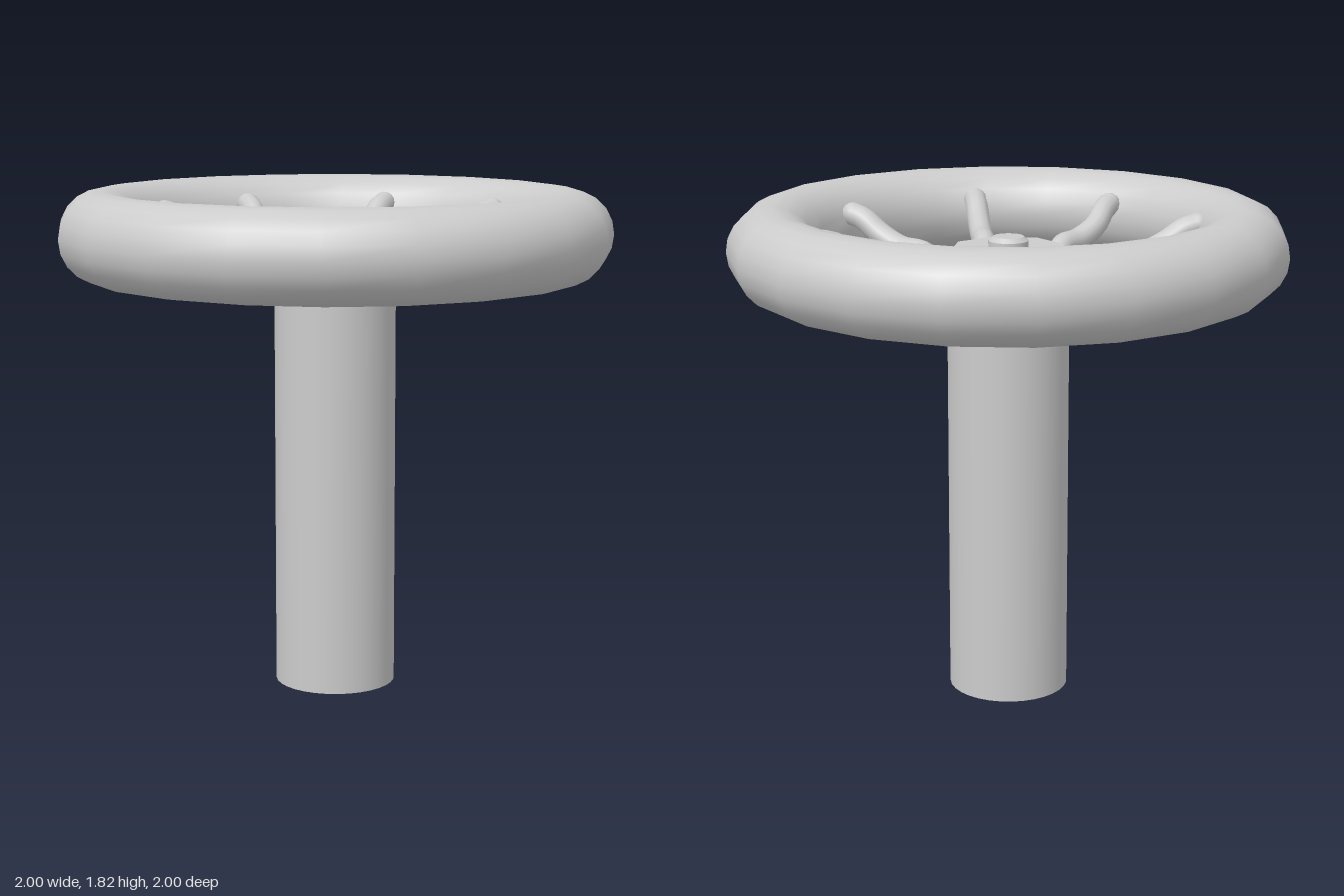
import * as THREE from 'three';
import { toCreasedNormals } from 'three/addons/utils/BufferGeometryUtils.js';

const material = new THREE.MeshStandardMaterial({ color: 0xcccccc });

function add(parent, name, geometry, y = 0) {
  const mesh = new THREE.Mesh(geometry, material);
  mesh.name = name;
  mesh.position.y = y;
  parent.add(mesh);
  return mesh;
}

// Closed turned part from [radius, height] points, with crisp edges
function turned(points, sides) {
  const profile = points.map(([r, y]) => new THREE.Vector2(r, y));
  return toCreasedNormals(new THREE.LatheGeometry(profile, sides), 0.6);
}

function ring(radius, tube, tubeSides, sides) {
  return new THREE.TorusGeometry(radius, tube, tubeSides, sides).rotateX(Math.PI / 2);
}

// Wavy spoke from hub to rim; sway bends it sideways in the middle
function spoke([x0, z0, x1, z1, sway]) {
  const group = new THREE.Group();
  group.name = 'spoke';
  const side = new THREE.Vector2(z0 - z1, x1 - x0).normalize();
  const rise = [[-0.1, 1.55, 0], [0.05, 1.55, 0], [0.25, 1.605, 1], [0.48, 1.615, 0.3],
    [0.7, 1.655, -1], [0.88, 1.705, -0.4], [1, 1.72, 0]];
  const path = new THREE.CatmullRomCurve3(rise.map(([t, y, bend]) => new THREE.Vector3(
    x0 + (x1 - x0) * t + side.x * sway * bend, y, z0 + (z1 - z0) * t + side.y * sway * bend)));
  add(group, 'spokeRod', new THREE.TubeGeometry(path, 24, 0.043, 12));
  add(group, 'spokeTip', new THREE.SphereGeometry(0.043, 12, 8)).position.copy(path.getPoint(1));
  return group;
}

export function createModel() {
  const model = new THREE.Group();
  model.name = 'steeringWheel';

  // Column and rim
  add(model, 'column', new THREE.CylinderGeometry(0.22, 0.22, 1.54, 32), 0.77);
  add(model, 'rim', ring(0.84, 0.16, 20, 20), 1.66);

  // Hub: collar ring, octagonal cap and centre button
  add(model, 'hubRing', ring(0.225, 0.062, 12, 16), 1.562);
  add(model, 'hubCap', turned([[0, 1.54], [0.23, 1.54], [0.235, 1.635], [0.21, 1.66], [0, 1.66]], 8));
  add(model, 'button', turned([[0, 1.65], [0.072, 1.65], [0.072, 1.685], [0.055, 1.7], [0, 1.7]], 24));

  // Spokes: hub x, z, rim x, z, sideways sway
  const spokes = [
    [0.26, 0, 0.67, 0, 0],
    [0.19, -0.2, 0.44, -0.51, -0.02],
    [-0.02, -0.27, -0.05, -0.68, 0.015],
    [-0.21, -0.19, -0.52, -0.43, 0.02],
    [-0.26, 0, -0.67, 0.01, 0],
    [-0.2, 0.19, -0.53, 0.45, 0],
    [-0.02, 0.27, -0.05, 0.67, -0.015],
    [0.2, 0.19, 0.45, 0.51, 0],
  ];
  for (const s of spokes) model.add(spoke(s));

  return model;
}
